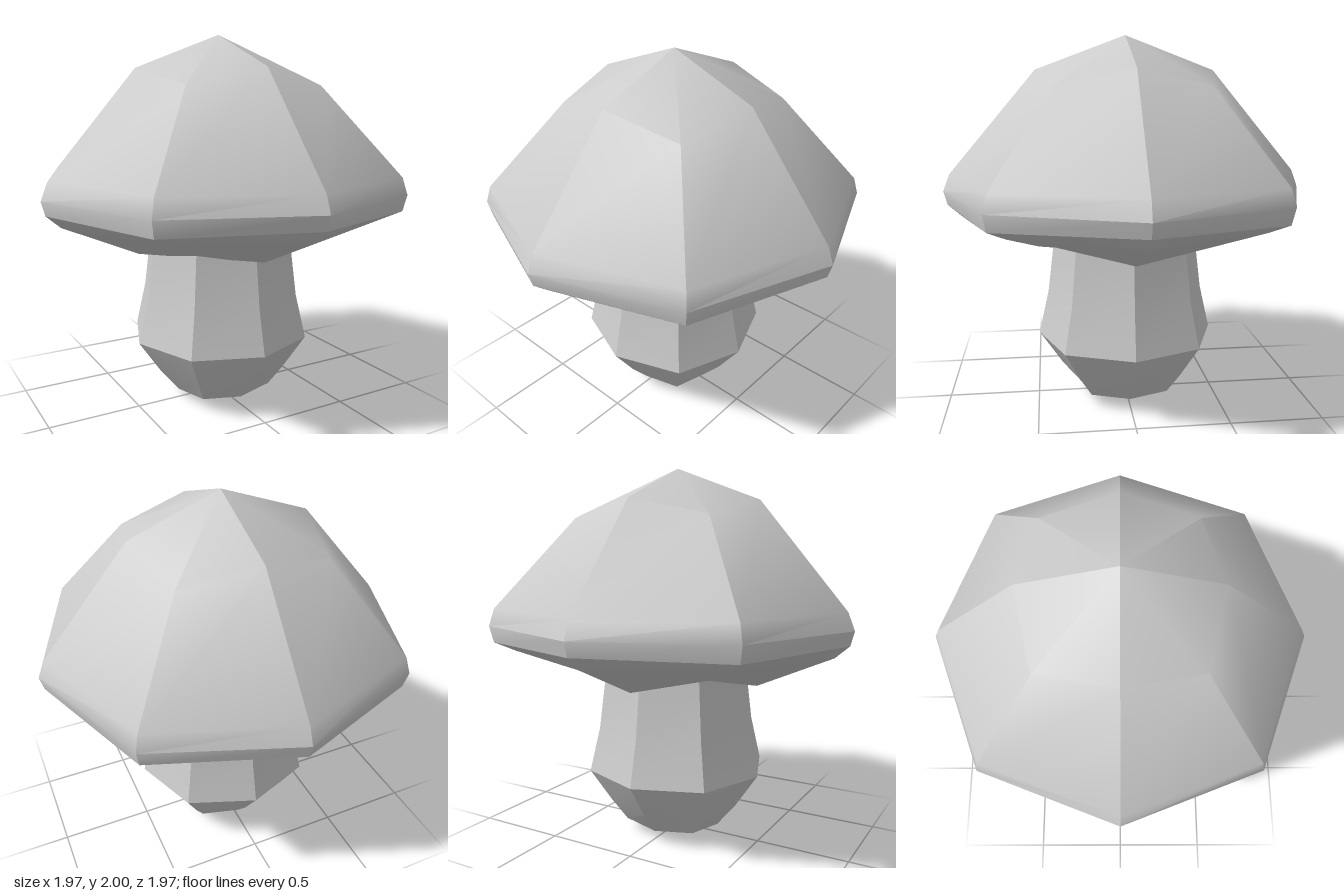
import * as THREE from 'three';
import { toCreasedNormals } from 'three/addons/utils/BufferGeometryUtils.js';

// Each ring, bottom to top: [axis radius, axis height, corner x/z offset, corner height]
const CAP = [
  [0.48, 0.86, 0.39, 0.945],
  [0.89, 1.04, 0.62, 1.045],
  [0.965, 1.105, 0.70, 1.095],
  [0.985, 1.18, 0.715, 1.18],
  [0.95, 1.27, 0.695, 1.27],
  [0.48, 1.82, 0.39, 1.735],
];
const STEM = [
  [0.255, 0.045, 0.21, 0.06],
  [0.36, 0.17, 0.272, 0.18],
  [0.49, 0.36, 0.355, 0.36],
  [0.435, 0.60, 0.315, 0.60],
  [0.40, 0.88, 0.29, 0.88],
  [0.39, 0.98, 0.285, 0.98],
];

// Eight-sided body: rings joined by quads, closed by a centre point at each end
function ringBody(rings, bottomY, topY) {
  const pos = [], index = [];
  for (const [r, y, c, cy] of rings) {
    for (let i = 0; i < 8; i++) {
      const a = (i * Math.PI) / 4;
      const radius = i % 2 ? c * Math.SQRT2 : r;
      pos.push(Math.sin(a) * radius, i % 2 ? cy : y, Math.cos(a) * radius);
    }
  }
  const bottom = rings.length * 8, top = bottom + 1, last = bottom - 8;
  pos.push(0, bottomY, 0, 0, topY, 0);

  // Sides
  for (let k = 0; k < last; k += 8) {
    for (let i = 0; i < 8; i++) {
      const j = (i + 1) % 8;
      index.push(k + i, k + j, k + 8 + j, k + i, k + 8 + j, k + 8 + i);
    }
  }
  // Ends: four quads each; the underside splits all run the same way
  for (let i = 0; i < 8; i += 2) {
    const corner = i + 1, next = (i + 2) % 8;
    if (corner % 4 === 3) index.push(bottom, next, i, next, corner, i);
    else index.push(bottom, corner, i, bottom, next, corner);
    index.push(top, last + i, last + corner, top, last + corner, last + next);
  }

  const geometry = new THREE.BufferGeometry();
  geometry.setAttribute('position', new THREE.Float32BufferAttribute(pos, 3));
  geometry.setIndex(index);
  return toCreasedNormals(geometry, Math.PI / 6);
}

export function createModel() {
  const group = new THREE.Group();
  group.name = 'mushroom';
  const grey = new THREE.MeshStandardMaterial({ color: 0xcccccc });
  grey.name = 'light grey';

  // Domed cap with a shallow hollow underneath
  const cap = new THREE.Mesh(ringBody(CAP, 0.98, 2), grey);
  cap.name = 'cap';

  // Bulbous stem, its top hidden inside the cap
  const stem = new THREE.Mesh(ringBody(STEM, 0, 1.05), grey);
  stem.name = 'stem';

  group.add(cap, stem);
  return group;
}
